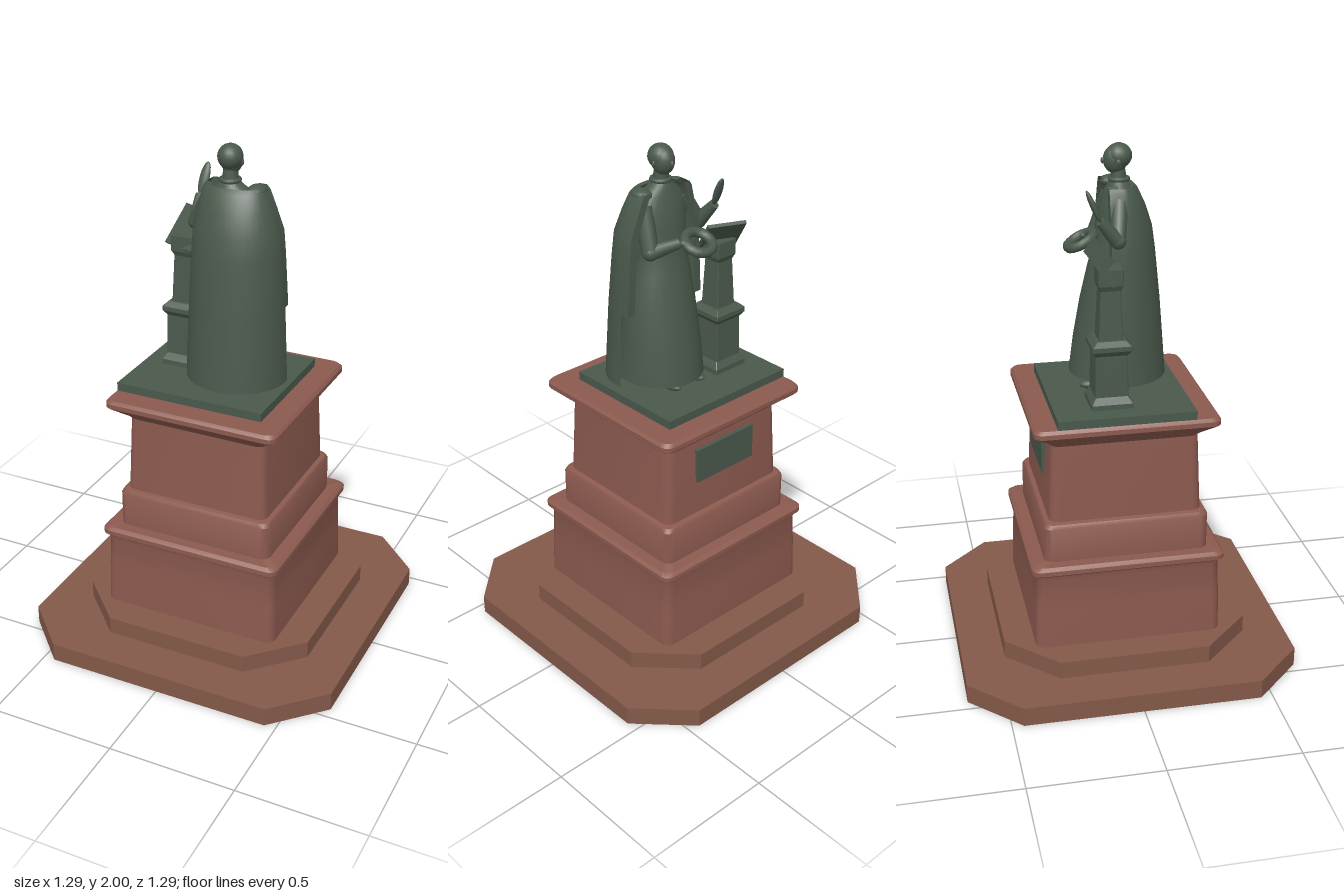
import * as THREE from 'three';
import { toCreasedNormals } from 'three/addons/utils/BufferGeometryUtils.js';

const V = (x, y, z) => new THREE.Vector3(x, y, z);

// Skin between rows of points; closed rows get flat caps
function loft(rows, closed = true, crease = 0.6) {
  const n = rows[0].length, pos = [], idx = [];
  rows.forEach(r => r.forEach(p => pos.push(p.x, p.y, p.z)));
  for (let i = 0; i < rows.length - 1; i++) {
    for (let j = 0; j < (closed ? n : n - 1); j++) {
      const a = i * n + j, b = i * n + (j + 1) % n;
      idx.push(a, a + n, b, b, a + n, b + n);
    }
  }
  if (closed) {
    [[0, false], [rows.length - 1, true]].forEach(([r, top]) => {
      const c = pos.length / 3, m = V(0, 0, 0);
      rows[r].forEach(p => m.addScaledVector(p, 1 / n));
      pos.push(m.x, m.y, m.z);
      for (let j = 0; j < n; j++) {
        const a = r * n + j, b = r * n + (j + 1) % n;
        if (top) idx.push(c, b, a); else idx.push(c, a, b);
      }
    });
  }
  const g = new THREE.BufferGeometry();
  g.setAttribute('position', new THREE.Float32BufferAttribute(pos, 3));
  g.setIndex(idx);
  return toCreasedNormals(g, crease);
}

// Square outline with cut (steps = 1) or rounded corners
function squareRow(y, h, r, steps) {
  const out = [];
  for (let q = 0; q < 4; q++) {
    const mid = q * Math.PI / 2 + Math.PI / 4;
    for (let s = 0; s <= steps; s++) {
      const a = q * Math.PI / 2 + (s / steps) * Math.PI / 2;
      out.push(V(Math.sign(Math.cos(mid)) * (h - r) + r * Math.cos(a), y,
        Math.sign(Math.sin(mid)) * (h - r) + r * Math.sin(a)));
    }
  }
  return out;
}

// Elliptical outline or arc
function ovalRow([y, cx, cz, rx, rz], n, from = 0, to = Math.PI * 2, full = true) {
  const out = [];
  for (let j = 0; j < (full ? n : n + 1); j++) {
    const a = from + (to - from) * j / n;
    out.push(V(cx + rx * Math.cos(a), y, cz + rz * Math.sin(a)));
  }
  return out;
}

export function createModel() {
  const model = new THREE.Group();
  const mat = (name, color, side = THREE.FrontSide) => {
    const m = new THREE.MeshStandardMaterial({ color, side });
    m.name = name;
    return m;
  };
  const stepStone = mat('stepStone', 0x84594a);
  const granite = mat('redGranite', 0x8c5a4f);
  const bronze = mat('greenBronze', 0x4a594c, THREE.DoubleSide);

  const add = (name, geo, material, parent = model) => {
    const m = new THREE.Mesh(geo, material);
    m.name = name;
    parent.add(m);
    return m;
  };
  const limb = (name, a, b, ra, rb, parent) => {
    const m = add(name, new THREE.CylinderGeometry(rb, ra, a.distanceTo(b), 10), bronze, parent);
    m.position.copy(a).lerp(b, 0.5);
    m.quaternion.setFromUnitVectors(V(0, 1, 0), b.clone().sub(a).normalize());
    return m;
  };
  const ball = (name, p, s, parent) => {
    const m = add(name, new THREE.SphereGeometry(1, 18, 12), bronze, parent);
    m.position.copy(p);
    m.scale.copy(s);
    return m;
  };
  const box = (name, size, p, parent, material = bronze) => {
    const m = add(name, new THREE.BoxGeometry(...size), material, parent);
    m.position.set(...p);
    return m;
  };

  // Octagonal steps
  [['lowerStep', 0, 0.075, 0.645], ['upperStep', 0.075, 0.145, 0.48]].forEach(([name, y0, y1, h]) =>
    add(name, loft([squareRow(y0, h, 0.19, 1), squareRow(y1, h, 0.19, 1)]), stepStone));

  // Moulded pedestal tiers, as [height, half width]
  const tiers = {
    pedestalBase: [[0.145, 0.363], [0.3, 0.36], [0.43, 0.355], [0.45, 0.36], [0.46, 0.373], [0.478, 0.373], [0.49, 0.36]],
    pedestalMiddle: [[0.49, 0.318], [0.625, 0.318], [0.64, 0.31], [0.645, 0.295]],
    pedestalShaft: [[0.64, 0.294], [0.9, 0.284], [0.95, 0.282], [0.965, 0.295], [1.005, 0.345], [1.012, 0.352], [1.03, 0.352], [1.042, 0.342]],
  };
  for (const [name, profile] of Object.entries(tiers)) {
    add(name, loft(profile.map(([y, h]) => squareRow(y, h, 0.035, 4))), granite).position.x = -0.003;
  }
  box('plaque', [0.29, 0.14, 0.015], [0, 0.85, -0.291], model);
  box('statuePlinth', [0.6, 0.035, 0.52], [-0.045, 1.058, -0.004], model);

  // Lectern with sloping board
  const lectern = new THREE.Group();
  lectern.name = 'lectern';
  lectern.position.set(-0.193, 0, -0.047);
  model.add(lectern);
  const lecternTiers = {
    lecternBase: [[1.075, 0.078], [1.095, 0.078], [1.12, 0.062], [1.28, 0.06], [1.3, 0.074], [1.318, 0.074], [1.335, 0.055]],
    lecternPost: [[1.33, 0.045], [1.52, 0.037], [1.54, 0.046], [1.6, 0.046]],
  };
  for (const [name, profile] of Object.entries(lecternTiers)) {
    add(name, loft(profile.map(([y, h]) => squareRow(y, h, 0.003, 1)), true, 0.3), bronze, lectern);
  }
  const board = box('lecternBoard', [0.15, 0.014, 0.17], [0.003, 1.617, -0.016], lectern);
  board.rotation.set(0.87, -0.4, 0, 'YXZ');

  // Robed figure, facing the plaque side
  const figure = new THREE.Group();
  figure.name = 'figure';
  model.add(figure);
  const robe = [
    [1.115, 0.05, 0.02, 0.165, 0.175], [1.25, 0.05, 0.015, 0.155, 0.152], [1.4, 0.05, 0.015, 0.14, 0.125],
    [1.53, 0.045, 0.012, 0.118, 0.093], [1.61, 0.04, 0.012, 0.1, 0.073], [1.7, 0.04, 0.02, 0.105, 0.07],
    [1.77, 0.038, 0.03, 0.108, 0.066], [1.82, 0.035, 0.034, 0.095, 0.052], [1.85, 0.028, 0.034, 0.05, 0.04],
    [1.865, 0.026, 0.034, 0.034, 0.032]];
  add('robe', loft(robe.map(r => ovalRow(r, 28))), bronze, figure);
  add('belt', loft([[1.605, 0.04, 0.012, 0.106, 0.079], [1.635, 0.04, 0.014, 0.106, 0.077]].map(r => ovalRow(r, 28))), bronze, figure);

  // Long cape, open at the chest, with a collar turned in to the shoulders
  const cape = [
    [1.105, 0.057, 0.03, 0.197, 0.19], [1.4, 0.056, 0.03, 0.186, 0.166], [1.6, 0.054, 0.03, 0.175, 0.145],
    [1.69, 0.053, 0.03, 0.168, 0.132], [1.77, 0.048, 0.032, 0.143, 0.103], [1.835, 0.042, 0.034, 0.122, 0.07],
    [1.85, 0.04, 0.034, 0.11, 0.055], [1.845, 0.04, 0.034, 0.088, 0.042]];
  add('cape', loft(cape.map(r => ovalRow(r, 20, -0.1, Math.PI + 0.1, false)), false, 0.7), bronze, figure);
  // Folded front edges of the cape
  for (const s of [1, -1]) {
    const rows = cape.slice(1, 7).map(([y, cx, cz, rx]) => [V(cx + s * rx, y, cz), V(cx + s * (rx - 0.004), y, -0.02),
      V(cx + s * (rx - 0.035), y, -0.022), V(cx + s * (rx - 0.045), y, 0.02)]);
    add('capeFold', loft(rows, false), bronze, figure);
  }
  ball('shoulderFold', V(0.128, 1.838, 0.025), V(0.035, 0.022, 0.045), figure);

  // Shoes
  for (const x of [-0.04, 0.08]) {
    ball('shoe', V(x, 1.092, -0.07), V(0.028, 0.02, 0.062), figure);
    limb('ankle', V(x, 1.08, -0.03), V(x, 1.2, -0.02), 0.026, 0.03, figure);
  }

  // Head, hair and neck
  limb('neck', V(0.026, 1.84, 0.034), V(0.026, 1.92, 0.03), 0.034, 0.025, figure);
  const collar = add('collar', new THREE.TorusGeometry(0.033, 0.009, 8, 20), bronze, figure);
  collar.position.set(0.026, 1.868, 0.034);
  collar.rotation.x = Math.PI / 2;
  ball('head', V(0.026, 1.94, 0.021), V(0.041, 0.053, 0.046), figure);
  ball('hair', V(0.026, 1.953, 0.034), V(0.047, 0.047, 0.049), figure);
  ball('nose', V(0.026, 1.938, -0.026), V(0.007, 0.012, 0.008), figure);
  for (const s of [1, -1]) ball('ear', V(0.026 + s * 0.043, 1.935, 0.025), V(0.006, 0.013, 0.009), figure);

  // Raised right arm
  const elbowR = V(-0.13, 1.675, 0), wristR = V(-0.145, 1.755, -0.068), tipR = V(-0.135, 1.865, -0.115);
  limb('rightUpperArm', V(-0.055, 1.8, 0.02), elbowR, 0.035, 0.03, figure);
  ball('rightElbow', elbowR, V(0.03, 0.03, 0.03), figure);
  limb('rightForearm', elbowR, wristR, 0.03, 0.019, figure);
  const hand = ball('rightHand', wristR.clone().lerp(tipR, 0.5), V(0.02, 0.064, 0.011), figure);
  hand.quaternion.setFromUnitVectors(V(0, 1, 0), tipR.clone().sub(wristR).normalize());

  // Left arm carrying a wreath
  const elbowL = V(0.14, 1.635, -0.035), wristL = V(0.045, 1.66, -0.085);
  limb('leftUpperArm', V(0.125, 1.79, 0.02), elbowL, 0.036, 0.032, figure);
  ball('leftElbow', elbowL, V(0.032, 0.032, 0.032), figure);
  limb('leftForearm', elbowL, wristL, 0.031, 0.02, figure);
  ball('leftHand', V(0.03, 1.662, -0.1), V(0.024, 0.016, 0.018), figure);
  const wreath = add('wreath', new THREE.TorusGeometry(0.053, 0.019, 8, 18), bronze, figure);
  wreath.position.set(-0.02, 1.655, -0.118);
  wreath.rotation.x = 1.1;

  return model;
}
